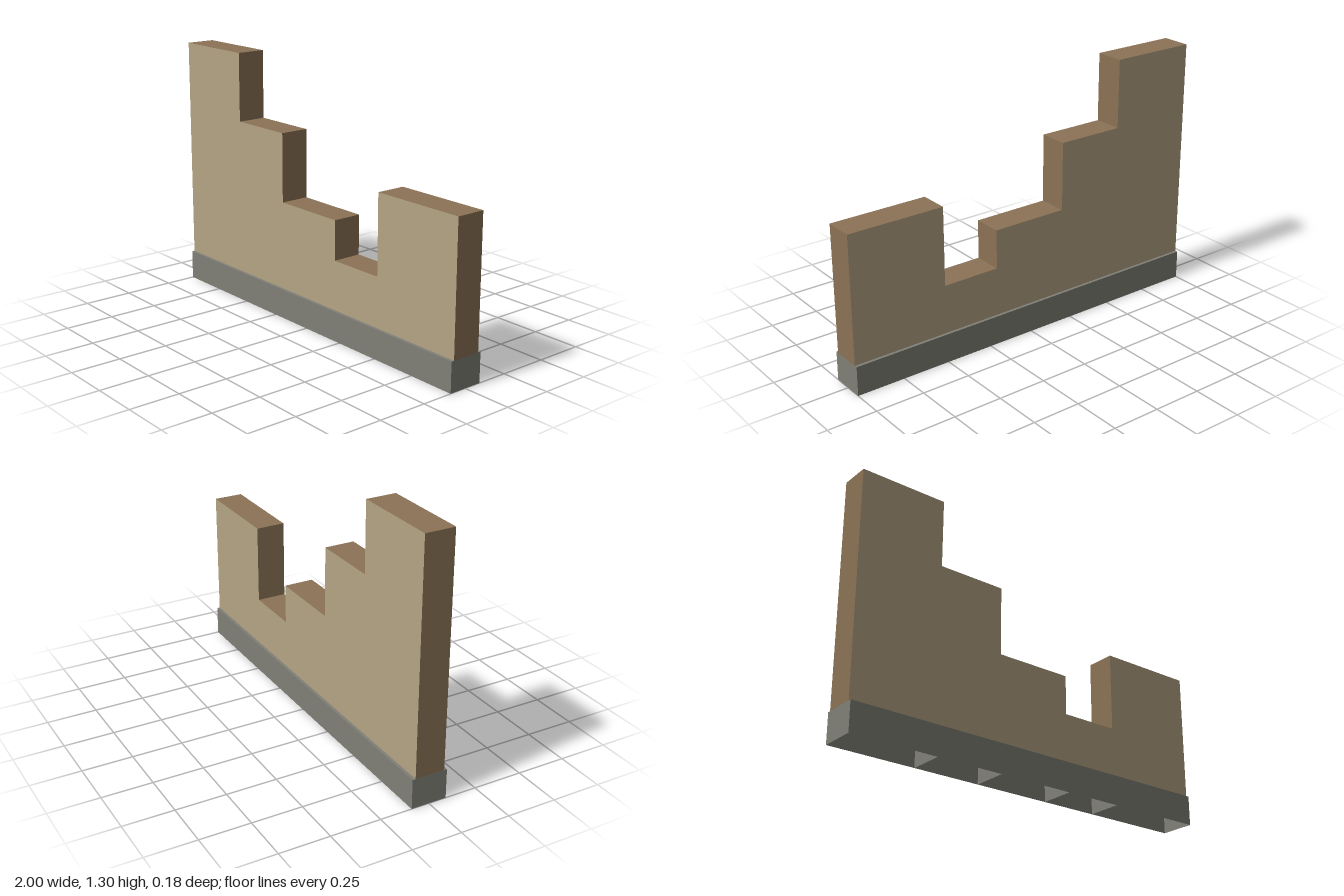
import * as THREE from 'three';

const BASE_H = 0.15, BASE_D = 0.18, WALL_D = 0.15;
// Segments of the broken wall: left edge, right edge, top height
const SEGMENTS = [
  [-1, -0.55, 1.3],
  [-0.55, -0.2, 0.95],
  [-0.2, 0.2, 0.6],
  [0.2, 0.5, 0.4],
  [0.5, 1, 0.8],
];

export function createModel() {
  const model = new THREE.Group();
  const plaster = new THREE.MeshStandardMaterial({ color: 0xb5a585 });
  const brick = new THREE.MeshStandardMaterial({ color: 0x8b7355 });
  const stone = new THREE.MeshStandardMaterial({ color: 0x808078, side: THREE.DoubleSide });

  const add = (name, geometry, material, x = 0, y = 0, z = 0) => {
    const mesh = new THREE.Mesh(geometry, material);
    mesh.name = name;
    mesh.position.set(x, y, z);
    model.add(mesh);
    return mesh;
  };

  // Stepped outline, from the bottom left over the top to the bottom right
  const outline = [new THREE.Vector2(-1, BASE_H)];
  for (const [x0, x1, top] of SEGMENTS) {
    outline.push(new THREE.Vector2(x0, top), new THREE.Vector2(x1, top));
  }
  outline.push(new THREE.Vector2(1, BASE_H));

  // Plastered front and back faces
  const face = new THREE.ShapeGeometry(new THREE.Shape(outline));
  add('wallFront', face, plaster, 0, 0, WALL_D / 2);
  const mirrored = outline.map((p) => new THREE.Vector2(-p.x, p.y));
  const back = new THREE.ShapeGeometry(new THREE.Shape(mirrored));
  add('wallBack', back, plaster, 0, 0, -WALL_D / 2).rotation.y = Math.PI;

  // Exposed brick along the ends and steps
  for (let i = 0; i < outline.length - 1; i++) {
    const a = outline[i], b = outline[i + 1];
    const strip = new THREE.PlaneGeometry(a.distanceTo(b), WALL_D);
    strip.rotateX(-Math.PI / 2);
    strip.rotateZ(Math.atan2(b.y - a.y, b.x - a.x));
    add('brickEdge', strip, brick, (a.x + b.x) / 2, (a.y + b.y) / 2);
  }

  // Hollow stone footing, open underneath
  const footing = new THREE.BoxGeometry(2, BASE_H, BASE_D);
  const bottom = footing.groups[3];
  const index = Array.from(footing.index.array);
  index.splice(bottom.start, bottom.count);
  footing.setIndex(index);
  footing.clearGroups();
  add('footing', footing, stone, 0, BASE_H / 2);

  // Partitions inside the footing at each step
  for (const [x0] of SEGMENTS.slice(1)) {
    const partition = new THREE.PlaneGeometry(BASE_D, BASE_H).rotateY(Math.PI / 2);
    add('footingPartition', partition, stone, x0, BASE_H / 2);
  }
  return model;
}
